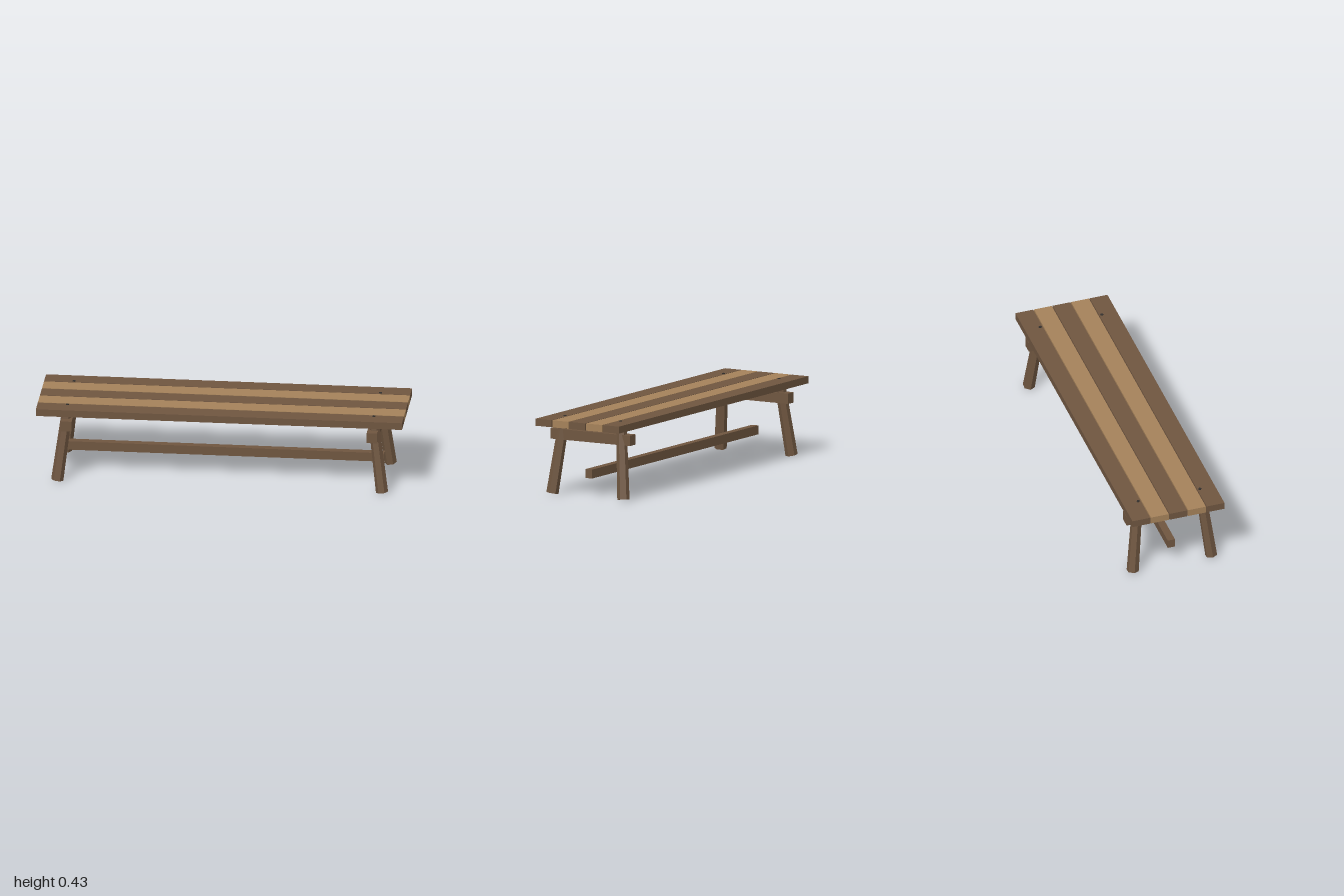
import * as THREE from 'three';

const dark = new THREE.MeshStandardMaterial({ color: 0x6f5640, flatShading: true });
const light = new THREE.MeshStandardMaterial({ color: 0xa5825a, flatShading: true });
const iron = new THREE.MeshStandardMaterial({ color: 0x33302d, flatShading: true });

export function createModel() {
  const bench = new THREE.Group();
  bench.name = 'bench';

  const add = (name, geometry, material, x, y, z) => {
    const mesh = new THREE.Mesh(geometry, material);
    mesh.name = name;
    mesh.position.set(x, y, z);
    bench.add(mesh);
    return mesh;
  };

  // Seat: five planks in alternating wood, with narrow gaps
  const plank = new THREE.BoxGeometry(2, 0.039, 0.1016);
  for (let i = -2; i <= 2; i++) {
    add('seatPlank', plank, i % 2 ? light : dark, 0, 0.4075, i * 0.1064);
  }

  // Long stretcher between the leg pairs
  add('stretcher', new THREE.BoxGeometry(1.756, 0.049, 0.041), dark, 0, 0.1285, 0);

  const beam = new THREE.BoxGeometry(0.058, 0.057, 0.504);
  const peg = new THREE.CylinderGeometry(0.009, 0.009, 0.03, 6);
  const up = new THREE.Vector3(0, 1, 0);

  for (const sx of [-1, 1]) {
    // Cross beam under each end of the seat
    add('crossBeam', beam, dark, sx * 0.835, 0.3285, 0);

    for (const sz of [-1, 1]) {
      // Splayed, slightly tapered hexagonal leg
      const foot = new THREE.Vector3(sx * 0.887, 0.0065, sz * 0.225);
      const top = new THREE.Vector3(sx * 0.837, 0.397, sz * 0.182);
      const axis = top.clone().sub(foot);
      const geometry = new THREE.CylinderGeometry(0.029, 0.0335, axis.length(), 6, 1, false, Math.PI / 6);
      const mid = foot.clone().lerp(top, 0.5);
      const leg = add('leg', geometry, dark, mid.x, mid.y, mid.z);
      leg.quaternion.setFromUnitVectors(up, axis.normalize());

      // Peg head standing just proud of the seat
      add('peg', peg, iron, sx * 0.837, 0.4155, sz * 0.1765);
    }
  }
  return bench;
}
